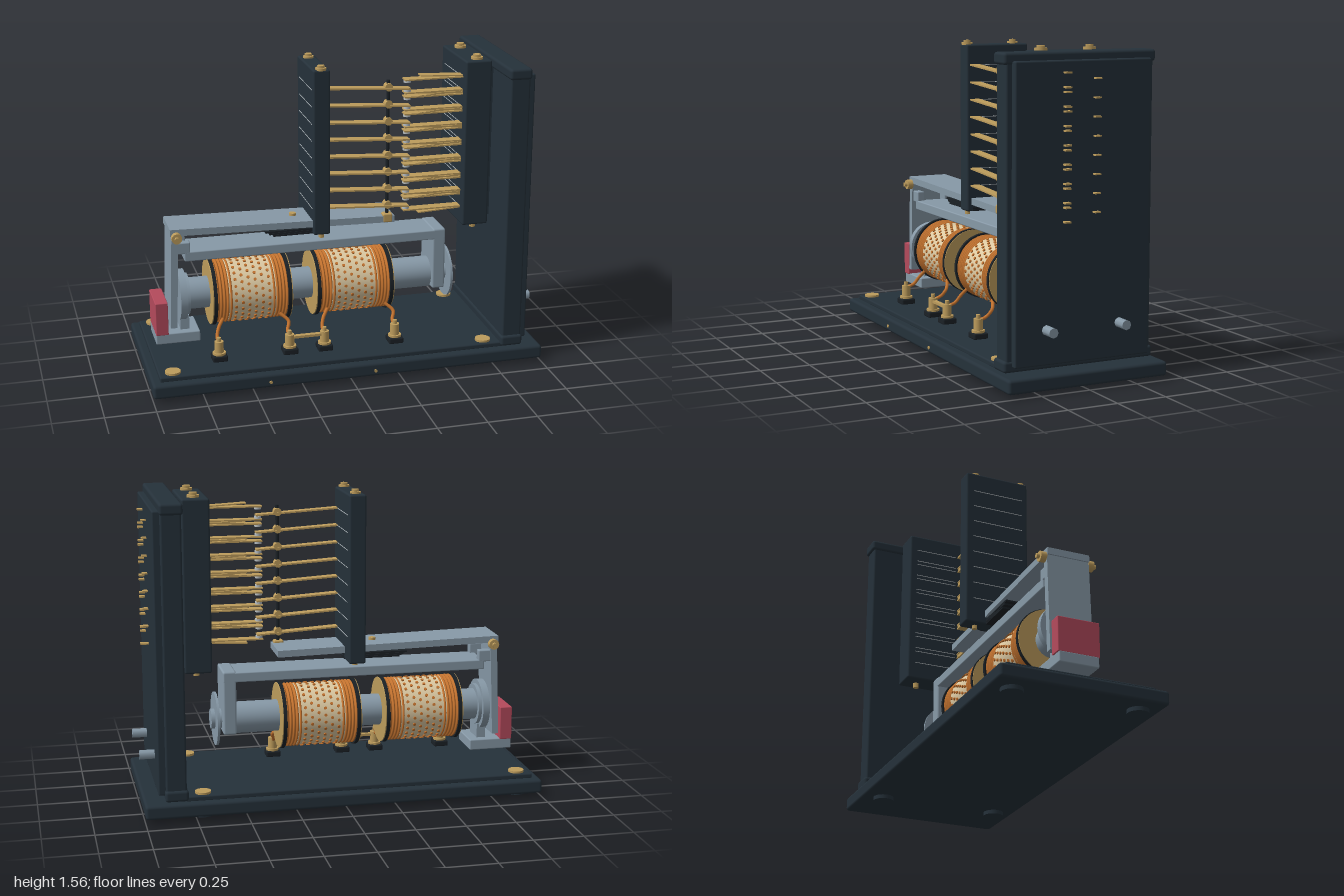
import * as THREE from 'three';
import { mergeGeometries } from 'three/addons/utils/BufferGeometryUtils.js';
import { RoundedBoxGeometry } from 'three/addons/geometries/RoundedBoxGeometry.js';

const mat = (name, color) => Object.assign(new THREE.MeshStandardMaterial({ color }), { name });

export function createModel() {
  const ebonite = mat('ebonite', 0x25313a), steel = mat('steel', 0x8799a7), brass = mat('brass', 0xbd9c5c);
  const copper = mat('copper', 0xc4732f), cloth = mat('cloth', 0xdcc9a2), red = mat('red', 0xb44a5c);
  const silver = mat('silver', 0xb9c0c4), black = mat('black', 0x1b2126);
  const root = new THREE.Group();

  const add = (name, geo, material, parent = root) => {
    const m = new THREE.Mesh(geo, material);
    m.name = name;
    parent.add(m);
    return m;
  };
  // Box from its limits on each axis; r rounds the edges
  const box = (name, material, x0, x1, y0, y1, z0, z1, r = 0) => {
    const s = [x1 - x0, y1 - y0, z1 - z0];
    const g = r ? new RoundedBoxGeometry(...s, 2, r) : new THREE.BoxGeometry(...s);
    const m = add(name, g, material);
    m.position.set((x0 + x1) / 2, (y0 + y1) / 2, (z0 + z1) / 2);
    return m;
  };
  // Cylinder centred on a point, along the chosen axis
  const cyl = (name, material, axis, r, len, x, y, z, sides = 32) => {
    const g = new THREE.CylinderGeometry(r, r, len, sides);
    if (axis === 'x') g.rotateZ(-Math.PI / 2);
    if (axis === 'z') g.rotateX(Math.PI / 2);
    const m = add(name, g, material);
    m.position.set(x, y, z);
    return m;
  };
  // Flat strip between two points in the x-y plane
  const strip = (name, material, x0, y0, x1, y1, thick, z, width) => {
    const m = add(name, new THREE.BoxGeometry(Math.hypot(x1 - x0, y1 - y0), thick, width), material);
    m.position.set((x0 + x1) / 2, (y0 + y1) / 2, z);
    m.rotation.z = Math.atan2(y1 - y0, x1 - x0);
    return m;
  };
  const screw = (x, y, z, r = 0.027) => {
    cyl('screwWasher', brass, 'y', r, 0.012, x, y + 0.006, z, 24);
    cyl('screwHead', brass, 'y', r * 0.7, 0.014, x, y + 0.017, z, 6);
  };

  // Base with feet and corner screws
  box('base', ebonite, -1, 1, 0.02, 0.09, -0.415, 0.415, 0.015);
  box('basePlate', ebonite, -0.96, 0.8, 0.085, 0.113, -0.37, 0.37, 0.008);
  for (const x of [-0.89, 0.71]) for (const s of [-1, 1]) {
    cyl('foot', ebonite, 'y', 0.052, 0.03, x, 0.015, s * 0.31);
    cyl('baseScrew', brass, 'y', 0.039, 0.012, x, 0.118, s * 0.32, 24);
  }
  for (const x of [-0.42, 0.115]) cyl('basePin', brass, 'z', 0.008, 0.012, x, 0.05, 0.415, 10);

  // Upright terminal panel
  box('panel', ebonite, 0.795, 0.895, 0.1, 1.54, -0.378, 0.378, 0.01);
  box('panelFace', ebonite, 0.88, 0.93, 0.12, 1.507, -0.35, 0.35, 0.008);
  box('panelTopRail', ebonite, 0.787, 0.9, 1.49, 1.545, -0.39, 0.39, 0.014);
  box('panelBottomRail', ebonite, 0.787, 0.9, 0.095, 0.15, -0.39, 0.39, 0.014);
  for (const s of [-1, 1]) cyl('terminalBolt', steel, 'x', 0.024, 0.09, 0.957, 0.285, s * 0.19, 8);

  // Contact block and spring bar
  box('contactBlock', ebonite, 0.64, 0.775, 0.685, 1.54, -0.22, 0.16, 0.01);
  box('blockMount', ebonite, 0.77, 0.8, 0.72, 1.5, -0.18, 0.12);
  box('springBar', ebonite, -0.13, -0.045, 0.69, 1.535, -0.21, 0.13, 0.01);
  for (const z of [-0.145, 0.11]) {
    screw(0.71, 1.54, z, 0.03);
    screw(-0.088, 1.532, z, 0.027);
    cyl('blockNut', brass, 'y', 0.016, 0.03, 0.71, 0.675, z, 6);
    cyl('barNut', brass, 'y', 0.014, 0.02, -0.088, 0.682, z, 6);
  }

  // Eight changeover contact sets
  const zc = 0.088;
  for (let i = 0; i < 8; i++) {
    const y = 1.433 - i * 0.0872;
    strip('movingSpring', brass, -0.05, y, 0.37, y - 0.025, 0.008, zc, 0.05);
    cyl('springCollar', brass, 'z', 0.02, 0.04, 0.26, y - 0.012, zc, 16);
    box('barInsulator', silver, -0.1315, -0.0435, y - 0.002, y + 0.001, -0.17, 0.1);
    box('movingPin', brass, 0.92, 0.955, y - 0.013, y - 0.006, -0.075, -0.045);
    for (const s of [-1, 1]) {
      const yf = y - 0.013 + s * 0.033;
      strip('fixedSpring', brass, 0.34, yf, 0.65, yf, 0.007, zc, 0.055);
      strip('stiffener', brass, 0.42, yf + s * 0.018, 0.65, yf + s * 0.006, 0.006, zc, 0.05);
      cyl('contact', silver, 'y', 0.018, 0.014, 0.358, yf - s * 0.009, zc, 16);
      box('blockInsulator', silver, 0.6385, 0.65, yf - 0.0015, yf + 0.0015, -0.18, 0.05);
      box('fixedPin', brass, 0.92, 0.957, yf - 0.004, yf + 0.004, 0.079, 0.109);
    }
  }

  // Push rod lifting the moving springs
  cyl('pushRod', black, 'y', 0.009, 0.73, 0.26, 1.09, zc, 12);
  box('pushRodFoot', brass, 0.235, 0.285, 0.718, 0.765, zc - 0.022, zc + 0.022, 0.008);

  // Armature: long lever, hanging plate and hinge
  strip('armatureLever', steel, -0.85, 0.758, 0.295, 0.735, 0.034, 0, 0.215);
  strip('armaturePlate', steel, -0.825, 0.77, -0.845, 0.255, 0.034, 0, 0.215);
  for (const s of [-1, 1]) {
    cyl('hingeKnuckle', brass, 'z', 0.026, 0.03, -0.82, 0.735, s * 0.122, 20);
    cyl('hingeTip', brass, 'z', 0.012, 0.02, -0.82, 0.735, s * 0.142, 10);
    box('hingeBracket', steel, -0.82, -0.75, 0.64, 0.7, s * 0.08 - 0.02, s * 0.08 + 0.02, 0.006);
  }
  cyl('leverScrew', brass, 'y', 0.018, 0.03, -0.21, 0.76, 0, 16);
  for (let i = 0; i < 3; i++)
    box('leverPad', black, -0.37 + i * 0.02, -0.045, 0.711 - i * 0.01, 0.72 - i * 0.01, -0.1, 0.1);

  // Yoke with core and pole discs
  box('yokeBar', steel, -0.78, 0.57, 0.6, 0.65, -0.1, 0.1, 0.006);
  box('yokeLeg', steel, 0.505, 0.572, 0.33, 0.655, -0.1, 0.1, 0.01);
  const yc = 0.393;
  cyl('core', steel, 'x', 0.08, 1.3, -0.13, yc, 0, 40);
  cyl('poleDisc', steel, 'x', 0.128, 0.035, -0.79, yc, 0, 40);
  cyl('poleStep', steel, 'x', 0.105, 0.02, -0.765, yc, 0, 40);
  cyl('coreHub', steel, 'x', 0.05, 0.08, 0.585, yc, 0, 24);
  cyl('rearDisc', steel, 'x', 0.135, 0.012, 0.6, yc, 0, 40);

  // Stop bracket with red pad
  box('stopBracket', steel, -0.935, -0.712, 0.17, 0.225, -0.1, 0.1, 0.006);
  box('stopPost', steel, -0.805, -0.76, 0.215, 0.3, -0.06, 0.06);
  box('stopPad', red, -0.935, -0.872, 0.22, 0.392, -0.105, 0.105, 0.004);

  // Coils
  const ripple = [];
  for (let i = 0; i <= 40; i++)
    ripple.push(new THREE.Vector2(0.151 + 0.012 * Math.abs(Math.sin(i / 40 * Math.PI * 5)), -0.042 + i * 0.0021));
  const windingGeo = new THREE.LatheGeometry(ripple, 40).rotateZ(-Math.PI / 2);
  const dots = [];
  for (let a = 0; a < 28; a++) for (let c = 0; c < 6; c++) {
    const dot = new THREE.CylinderGeometry(0.008, 0.008, 0.012, 6).translate(0, 0.157, 0);
    dots.push(dot.rotateX((a + c * 0.4) / 28 * Math.PI * 2).translate(-0.085 + c * 0.034, 0, 0));
  }
  const dotGeo = mergeGeometries(dots);
  for (const x of [-0.45, 0.08]) {
    cyl('coilCover', cloth, 'x', 0.157, 0.24, x, yc, 0, 48);
    add('coverStitches', dotGeo, copper).position.set(x, yc, 0);
    for (const s of [-1, 1]) {
      add('winding', windingGeo, copper).position.set(x + s * 0.143, yc, 0);
      cyl('coilFlange', black, 'x', 0.17, 0.018, x + s * 0.189, yc, 0, 48);
      cyl('flangePlate', brass, 'x', 0.166, 0.006, x + s * 0.2, yc, 0, 48);
    }
  }

  // Binding posts with coil leads
  for (const x of [-0.64, -0.28, -0.1, 0.27]) {
    box('postBlock', black, x - 0.038, x + 0.038, 0.11, 0.142, 0.182, 0.258, 0.008);
    cyl('postCollar', brass, 'y', 0.033, 0.012, x, 0.147, 0.22, 24);
    cyl('post', brass, 'y', 0.023, 0.07, x, 0.175, 0.22, 20);
    cyl('postTip', brass, 'y', 0.011, 0.03, x, 0.215, 0.22, 12);
    const path = new THREE.CatmullRomCurve3([
      new THREE.Vector3(x, 0.2, 0.215), new THREE.Vector3(x, 0.215, 0.175),
      new THREE.Vector3(x + 0.012, 0.25, 0.15), new THREE.Vector3(x + (x < -0.5 || x === -0.1 ? 0.04 : -0.03), 0.29, 0.125)]);
    add('coilLead', new THREE.TubeGeometry(path, 16, 0.009, 8), copper);
  }
  box('jumper', brass, -0.28, -0.1, 0.187, 0.2, 0.208, 0.232);

  return root;
}
